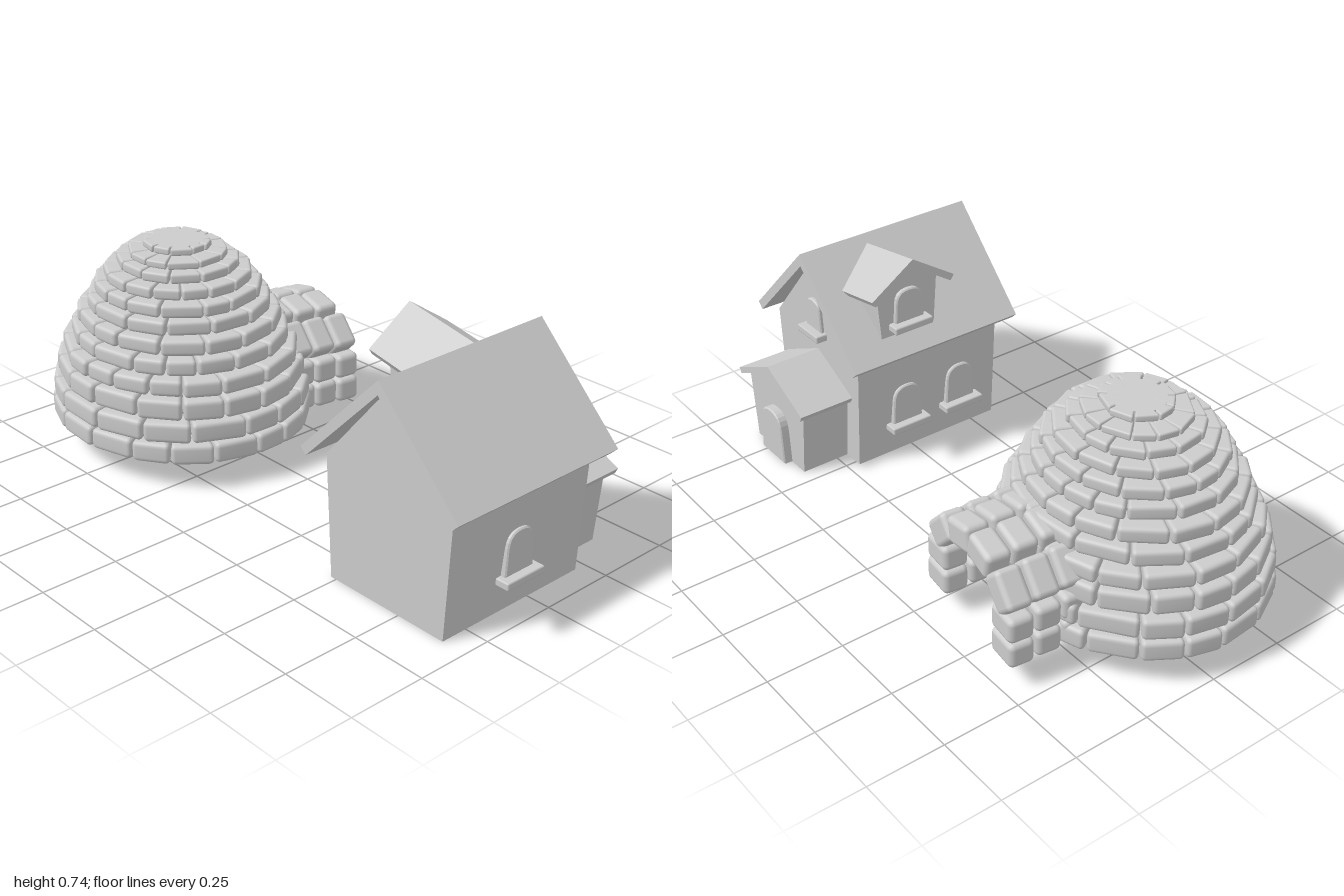
import * as THREE from 'three';
import { mergeGeometries, mergeVertices } from 'three/addons/utils/BufferGeometryUtils.js';
import { RoundedBoxGeometry } from 'three/addons/geometries/RoundedBoxGeometry.js';

const grey = new THREE.MeshStandardMaterial({ color: 0xcccccc });

function add(parent, name, geometry) {
  const mesh = new THREE.Mesh(geometry, grey);
  mesh.name = name;
  parent.add(mesh);
  return mesh;
}

function extrude(points, depth) {
  const shape = new THREE.Shape(points.map(([x, y]) => new THREE.Vector2(x, y)));
  return new THREE.ExtrudeGeometry(shape, { depth, bevelEnabled: false });
}

// Gabled wall outline: narrower at the foot than under the eaves
const gable = (foot, footY, eave, eaveY, peakY) =>
  [[-foot, footY], [foot, footY], [eave, eaveY], [0, peakY], [-eave, eaveY]];

// Two roof slabs meeting at a ridge, eaves cut square to the slope
function chevron(half, eaveY, ridgeY, t) {
  const slope = Math.atan2(ridgeY - eaveY, half);
  const dx = t * Math.sin(slope), dy = t * Math.cos(slope);
  return [[-half, eaveY], [-half + dx, eaveY - dy], [0, ridgeY - t / Math.cos(slope)],
    [half - dx, eaveY - dy], [half, eaveY], [0, ridgeY]];
}

// Extrusion whose outline lies in z-y and which runs from x0 to x1
const alongX = (points, x0, x1) =>
  extrude(points, x1 - x0).rotateY(-Math.PI / 2).translate(x1, 0, 0.7);

// Arched panel standing on y = 0 and facing +z
function archPanel(w, h, depth) {
  const s = new THREE.Shape();
  s.moveTo(-w / 2, 0);
  s.lineTo(w / 2, 0);
  s.lineTo(w * 0.45, h * 0.65);
  s.bezierCurveTo(w * 0.42, h * 0.93, w * 0.25, h, 0, h);
  s.bezierCurveTo(-w * 0.25, h, -w * 0.42, h * 0.93, -w * 0.45, h * 0.65);
  s.closePath();
  const b = 0.004;
  return new THREE.ExtrudeGeometry(s, {
    depth: depth - b, bevelThickness: b, bevelSize: b, bevelOffset: -b, bevelSegments: 1, curveSegments: 6,
  });
}

function addWindow(parent, name, w, h, position, turn) {
  const g = new THREE.Group();
  g.name = name;
  add(g, 'pane', archPanel(w, h, 0.035).translate(0, 0, -0.02));
  add(g, 'sill', new RoundedBoxGeometry(w * 1.32, 0.025, 0.06, 1, 0.005).translate(0, -0.01, 0.012));
  g.position.set(...position);
  g.rotation.y = turn;
  parent.add(g);
}

function buildHouse() {
  const house = new THREE.Group();
  house.name = 'house';
  add(house, 'walls', alongX(gable(0.22, 0, 0.242, 0.39, 0.675), -0.34, 0.21));
  add(house, 'roof', alongX(chevron(0.3, 0.406, 0.71, 0.03), -0.385, 0.255));

  // Porch
  add(house, 'porchWalls', alongX(gable(0.145, 0, 0.168, 0.245, 0.325), 0.19, 0.38));
  add(house, 'porchRoof', alongX(chevron(0.196, 0.25, 0.347, 0.021), 0.2, 0.405));
  const door = add(house, 'door', archPanel(0.14, 0.18, 0.035));
  door.position.set(0.375, 0.002, 0.7);
  door.rotation.y = Math.PI / 2;

  // Dormer on the back slope, sinking towards the main ridge
  const sink = (geometry) => {
    const p = geometry.attributes.position;
    for (let i = 0; i < p.count; i++) p.setY(i, p.getY(i) - (p.getZ(i) - 0.415) * 0.19);
    geometry.computeVertexNormals();
    return geometry;
  };
  add(house, 'dormerWalls', sink(extrude(gable(0.1, 0.445, 0.115, 0.632, 0.71), 0.22).translate(0.015, 0, 0.455)));
  add(house, 'dormerRoof', sink(extrude(chevron(0.157, 0.632, 0.735, 0.023), 0.285).translate(0.015, 0, 0.415)));

  addWindow(house, 'frontWindow', 0.115, 0.137, [-0.068, 0.118, 0.93], 0);
  addWindow(house, 'backWindowLeft', 0.115, 0.137, [0.025, 0.118, 0.47], Math.PI);
  addWindow(house, 'backWindowRight', 0.115, 0.137, [-0.19, 0.118, 0.47], Math.PI);
  addWindow(house, 'gableWindow', 0.09, 0.11, [0.207, 0.425, 0.7], Math.PI / 2);
  addWindow(house, 'dormerWindow', 0.11, 0.115, [0.015, 0.505, 0.455], Math.PI);
  return house;
}

// Rounded block with smooth shading; bend is an optional rule moving each vertex
function block(w, h, d, r, bend) {
  let g = new RoundedBoxGeometry(w, h, d, 2, r);
  if (!bend) return g;
  g.deleteAttribute('normal');
  g.deleteAttribute('uv');
  g = mergeVertices(g, 1e-5);
  const p = g.attributes.position;
  for (let i = 0; i < p.count; i++) p.setXYZ(i, ...bend(p.getX(i), p.getY(i), p.getZ(i)));
  g.computeVertexNormals();
  return g;
}

function buildIgloo() {
  const igloo = new THREE.Group();
  igloo.name = 'igloo';
  let seed = 7;
  const random = () => (seed = (seed * 16807) % 2147483647) / 2147483647;
  const cx = -0.075, cz = -0.545, squash = 0.91, doorAngle = 0.15;

  // Courses: bottom height, outer radius, number of blocks
  const courses = [[0.088, 0.457, 17], [0.158, 0.449, 16], [0.228, 0.43, 16], [0.298, 0.41, 17],
    [0.356, 0.378, 16], [0.412, 0.352, 16], [0.466, 0.318, 15], [0.516, 0.29, 15],
    [0.561, 0.257, 14], [0.601, 0.213, 13], [0.636, 0.177, 12], [0.662, 0.12, 10]];
  courses.forEach(([y0, R, count], row) => {
    const y1 = row < 11 ? courses[row + 1][0] : 0.687;
    const gap = row < 3 ? 0.31 : 0; // doorway in the lowest courses
    const start = doorAngle + gap + (gap ? 0 : random());
    const weights = Array.from({ length: count }, () => 0.75 + 0.5 * random());
    const total = weights.reduce((a, b) => a + b);
    const h = y1 - y0 - 0.002, t = row < 11 ? 0.095 : 0.07;
    let angle = start;
    const bricks = weights.map((weight) => {
      const span = (weight / total) * (Math.PI * 2 - 2 * gap);
      const mid = angle + span / 2;
      const out = R - t / 2 - 0.008 * random();
      angle += span;
      return block(span * R - 0.004, h, t, Math.min(0.016, h * 0.28), (x, y, z) => {
        const a = mid - x / R, rad = out + z;
        return [cx + rad * Math.cos(a) * squash, (y0 + y1) / 2 + y, cz + rad * Math.sin(a)];
      });
    });
    add(igloo, 'course' + (row + 1), mergeGeometries(bricks));
  });
  const cap = add(igloo, 'cap', new THREE.CylinderGeometry(0.09, 0.09, 0.02, 24));
  cap.scale.x = squash;
  cap.position.set(cx, 0.676, cz);

  // Entrance tunnel: three block arches, one behind the other
  const turn = 0.12;
  for (let i = 0; i < 3; i++) {
    const stones = [];
    for (const side of [-1, 1]) {
      const stone = (w, h, x, y, tilt) => stones.push(
        block(w, h, 0.082, 0.018).rotateZ(-side * tilt).translate(side * x, y, 0));
      stone(0.113, 0.083, 0.185, 0.12, 0);
      stone(0.11, 0.083, 0.184, 0.206, 0.03);
      stone(0.122, 0.09, 0.163, 0.296, 0.8);
      stone(0.116, 0.088, 0.055, 0.352, 0.22);
    }
    const arch = add(igloo, 'entranceArch' + (i + 1), mergeGeometries(stones));
    arch.position.set(0.415 - i * 0.087, -0.004 + i * 0.006, -0.46 - i * 0.0105);
    arch.rotation.y = Math.PI / 2 - turn;
  }
  return igloo;
}

export function createModel() {
  const model = new THREE.Group();
  model.name = 'houseAndIgloo';
  model.add(buildHouse(), buildIgloo());
  return model;
}
